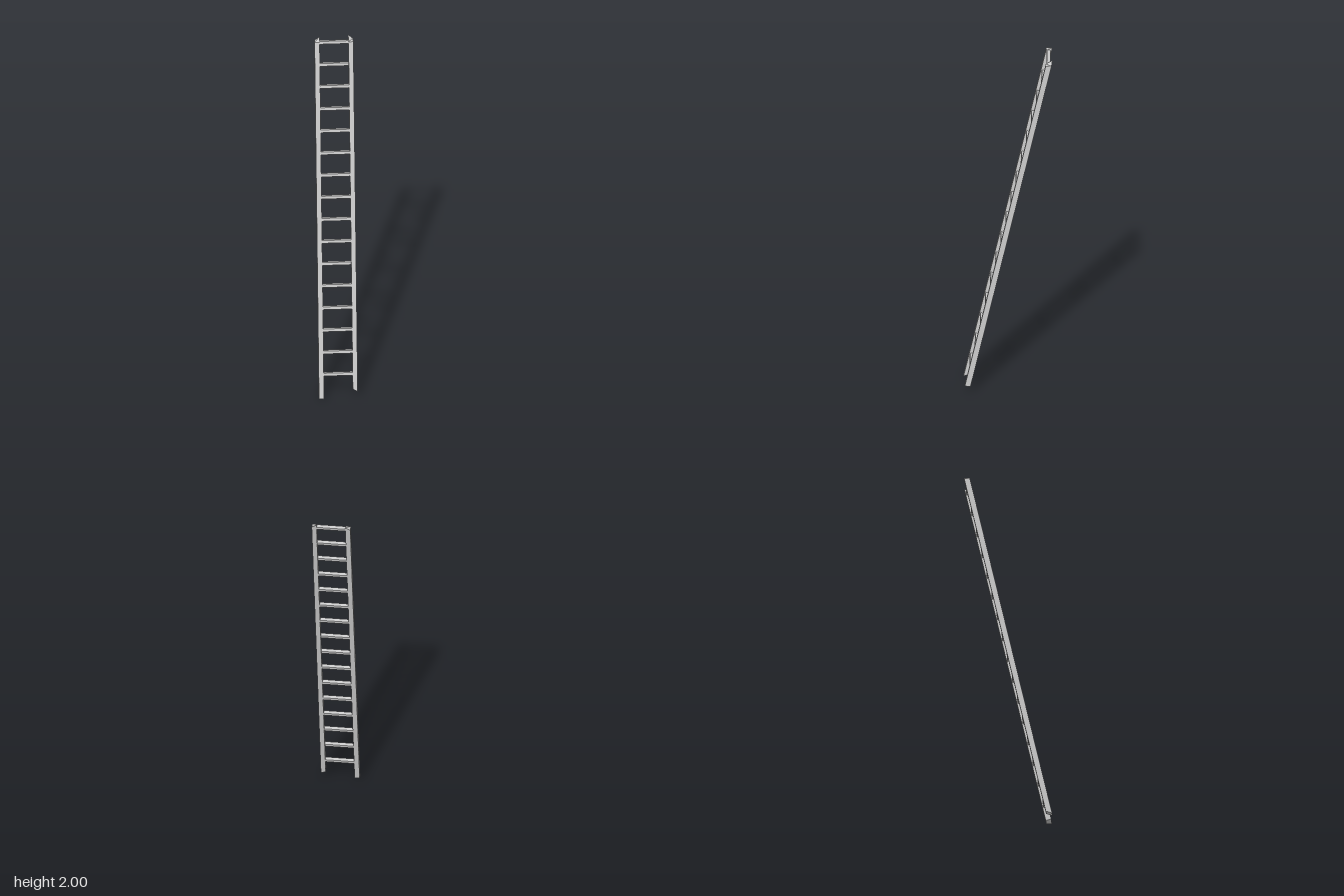
import * as THREE from 'three';

const SLOPE = 0.222; // backward lean: z lost per unit of height
const RUNGS = 16;

const leanZ = (y) => -SLOPE * (y - 1);

// Leaning square rail with rough-cut ends.
// Each end lists corner heights: [-x front, +x front, -x back, +x back]
function makeRail(name, x0, x1, bottom, top, material) {
  const geometry = new THREE.BoxGeometry(1, 1, 1);
  const p = geometry.attributes.position;
  for (let i = 0; i < p.count; i++) {
    const right = p.getX(i) > 0;
    const back = p.getZ(i) < 0;
    const heights = p.getY(i) > 0 ? top : bottom;
    const y = heights[(back ? 2 : 0) + (right ? 1 : 0)];
    p.setXYZ(i, right ? x1 : x0, y, leanZ(y) + (back ? -0.0155 : 0.0155));
  }
  geometry.computeVertexNormals();
  const rail = new THREE.Mesh(geometry, material);
  rail.name = name;
  return rail;
}

export function createModel() {
  const ladder = new THREE.Group();
  ladder.name = 'ladder';
  const material = new THREE.MeshStandardMaterial({ color: 0xcccccc, flatShading: true });

  // Side rails, slightly uneven at their ends
  ladder.add(makeRail('rightRail', -0.104, -0.077,
    [0.003, 0, 0.015, 0.012], [1.98, 1.98, 1.975, 1.993], material));
  ladder.add(makeRail('leftRail', 0.077, 0.103,
    [0.052, 0.037, 0.045, 0.035], [1.978, 1.978, 2, 1.98], material));

  // Evenly spaced rungs, tilted with the rails
  const rungs = new THREE.Group();
  rungs.name = 'rungs';
  const rungGeometry = new THREE.BoxGeometry(0.165, 0.016, 0.02);
  for (let i = 0; i < RUNGS; i++) {
    const y = 0.131 + i * 0.1227;
    const rung = new THREE.Mesh(rungGeometry, material);
    rung.name = `rung${i + 1}`;
    rung.position.set(0, y, leanZ(y));
    rung.rotation.x = -Math.atan(SLOPE);
    rungs.add(rung);
  }
  ladder.add(rungs);
  return ladder;
}
